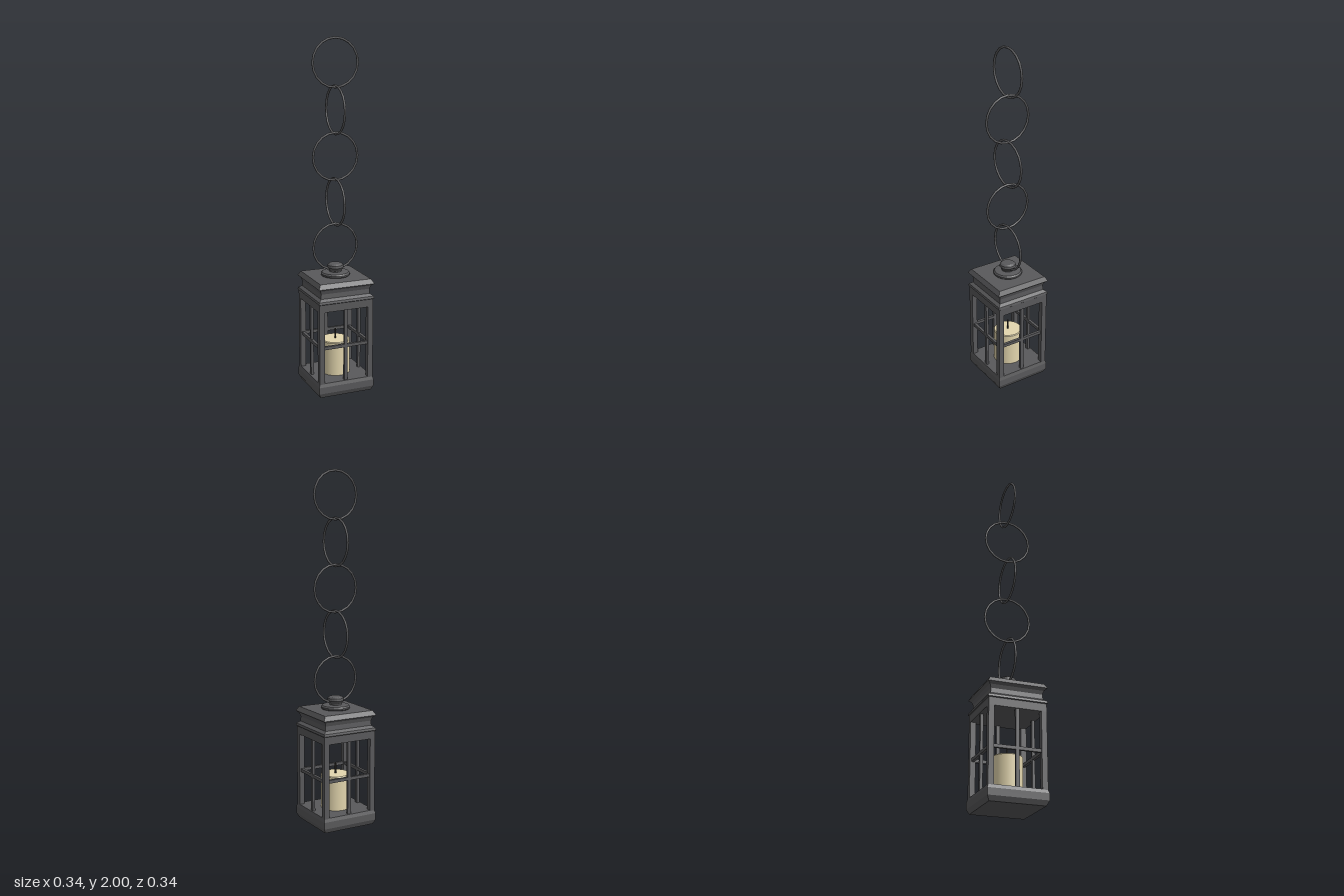
import * as THREE from 'three';

const metal = new THREE.MeshStandardMaterial({ color: 0x59595b, flatShading: true });
const ringMetal = new THREE.MeshStandardMaterial({ color: 0x59595b });
const wax = new THREE.MeshStandardMaterial({ color: 0xe3d6ae });
const wickBlack = new THREE.MeshStandardMaterial({ color: 0x3a3630 });

function add(parent, name, geometry, material, x = 0, y = 0, z = 0) {
  const mesh = new THREE.Mesh(geometry, material);
  mesh.name = name;
  mesh.position.set(x, y, z);
  parent.add(mesh);
  return mesh;
}

// Revolved profile; four sides give a square body whose half width is the profile value
function lathe(profile, sides) {
  const square = sides === 4;
  const k = square ? Math.SQRT2 : 1;
  const points = profile.map(([r, y]) => new THREE.Vector2(r * k, y));
  return new THREE.LatheGeometry(points, sides, square ? Math.PI / 4 : 0);
}

export function createModel() {
  const model = new THREE.Group();
  model.name = 'hangingLantern';

  // Base and moulded roof
  add(model, 'base', lathe([
    [0, 0], [0.155, 0], [0.168, 0.027], [0.168, 0.065], [0.162, 0.085], [0, 0.085],
  ], 4), metal);
  add(model, 'roof', lathe([
    [0, 0.504], [0.163, 0.504], [0.163, 0.548], [0.168, 0.552], [0.165, 0.565],
    [0.148, 0.578], [0.146, 0.605], [0.153, 0.625], [0.168, 0.638], [0.153, 0.664], [0, 0.664],
  ], 4), metal);

  // Corner posts and window bars on all four sides
  const height = 0.43, middle = 0.295;
  for (let i = 0; i < 4; i++) {
    const side = new THREE.Group();
    side.name = 'windowSide';
    side.rotation.y = i * Math.PI / 2;
    add(side, 'cornerPost', new THREE.BoxGeometry(0.031, height, 0.031), metal, 0.1475, middle, 0.1475);
    add(side, 'verticalBar', new THREE.BoxGeometry(0.02, height, 0.016), metal, 0, middle, 0.147);
    add(side, 'crossBar', new THREE.BoxGeometry(0.27, 0.018, 0.016), metal, 0, 0.29, 0.147);
    model.add(side);
  }

  // Candle
  add(model, 'candle', lathe([
    [0, 0.084], [0.083, 0.084], [0.083, 0.084], [0.083, 0.279], [0.083, 0.279],
    [0.079, 0.284], [0.079, 0.284], [0, 0.284],
  ], 32), wax);
  add(model, 'wick', new THREE.CylinderGeometry(0.005, 0.005, 0.06, 8), wickBlack, 0, 0.313, 0);

  // Flange and knob that hold the chain
  add(model, 'flange', lathe([
    [0.076, 0.662], [0.083, 0.669], [0.083, 0.677], [0.076, 0.685], [0.05, 0.688], [0, 0.688],
  ], 20), metal);
  add(model, 'knob', lathe([
    [0.035, 0.686], [0.035, 0.694], [0.047, 0.712], [0.045, 0.726], [0.034, 0.734], [0, 0.735],
  ], 20), metal);

  // Chain of round links, alternately turned
  const link = new THREE.TorusGeometry(0.1335, 0.0065, 8, 20);
  for (let i = 0; i < 5; i++) {
    const ring = add(model, 'chainLink', link, ringMetal, 0, 1.86 - i * 0.257, 0);
    ring.rotation.y = (i % 2) * Math.PI / 2;
  }
  return model;
}
